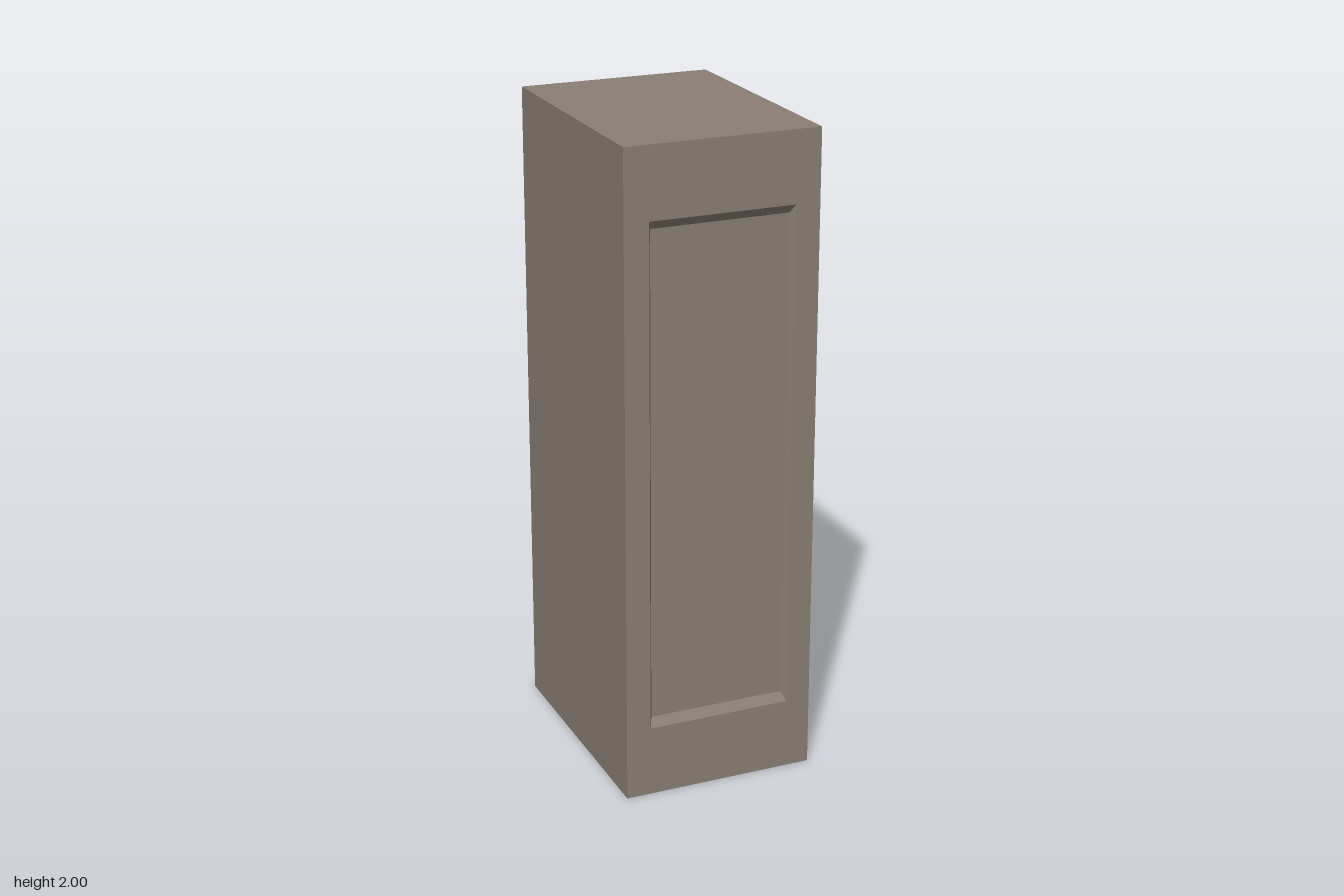
import * as THREE from 'three';

// Lofts a list of rectangles [halfWidth, bottom, top, z]; caps are optional
function loftRects(rects, capStart, capEnd) {
  const points = [];
  const index = [];
  for (const [w, y0, y1, z] of rects) {
    points.push(-w, y0, z, w, y0, z, w, y1, z, -w, y1, z);
  }
  for (let r = 0; r < rects.length - 1; r++) {
    for (let i = 0; i < 4; i++) {
      const a = r * 4 + i;
      const b = r * 4 + (i + 1) % 4;
      index.push(a, b, b + 4, a, b + 4, a + 4);
    }
  }
  if (capStart) index.push(0, 2, 1, 0, 3, 2);
  if (capEnd) {
    const e = (rects.length - 1) * 4;
    index.push(e, e + 1, e + 2, e, e + 2, e + 3);
  }
  const indexed = new THREE.BufferGeometry();
  indexed.setAttribute('position', new THREE.Float32BufferAttribute(points, 3));
  indexed.setIndex(index);
  const geometry = indexed.toNonIndexed();
  geometry.computeVertexNormals();
  return geometry;
}

export function createModel() {
  const group = new THREE.Group();
  group.name = 'cabinet';
  const material = new THREE.MeshStandardMaterial({ color: 0x8a7f74, flatShading: true });
  const add = (name, geometry) => {
    const mesh = new THREE.Mesh(geometry, material);
    mesh.name = name;
    group.add(mesh);
  };

  const back = [0.3, 0, 2, -0.4];
  const front = [0.3, 0, 2, 0.4];
  const recessEdge = [0.224, 0.22, 1.783, 0.4];
  const panelEdge = [0.213, 0.247, 1.756, 0.38];

  // Closed body with the front face left as a frame around the panel
  add('body', loftRects([back, front, recessEdge], true, false));

  // Sunken front panel with bevelled sides
  add('recessedPanel', loftRects([recessEdge, panelEdge], false, true));

  return group;
}
